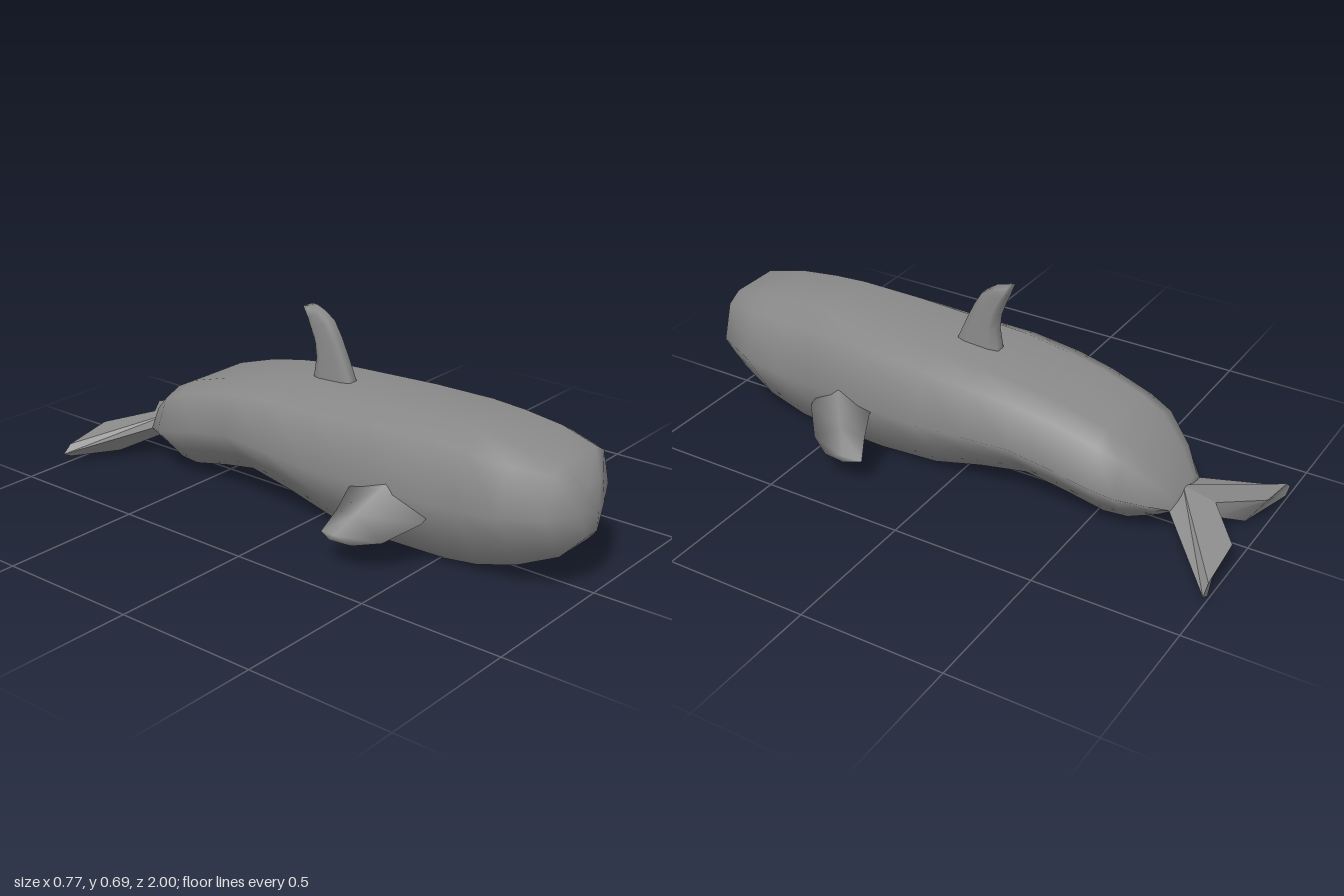
import * as THREE from 'three';
import { toCreasedNormals } from 'three/addons/utils/BufferGeometryUtils.js';

const material = new THREE.MeshStandardMaterial({ color: 0x8a8a8a });

// Closed skin over a list of rings; each end is capped by a fan to a pole
function loft(rings, startPole, endPole) {
  const n = rings[0].length;
  const centre = r => [0, 1, 2].map(k => r.reduce((s, p) => s + p[k], 0) / n);
  const last = rings.length - 1;
  const points = [...rings.flat(), startPole || centre(rings[0]), endPole || centre(rings[last])];
  const a = n * rings.length, b = a + 1;
  const faces = [];
  for (let j = 0; j < n; j++) {
    const k = (j + 1) % n;
    for (let i = 0; i < last; i++) {
      const p = i * n, q = p + n;
      faces.push([p + j, p + k, q + k], [p + j, q + k, q + j]);
    }
    faces.push([a, k, j], [b, last * n + j, last * n + k]);
  }
  // Turn the faces outward whichever way the rings run
  const v = points.map(p => new THREE.Vector3(...p));
  const mid = v[a].clone().add(v[b]).multiplyScalar(0.5);
  let volume = 0;
  for (const [i, j, k] of faces) {
    const e = v[i].clone().sub(mid), f = v[j].clone().sub(mid), g = v[k].clone().sub(mid);
    volume += e.dot(f.cross(g));
  }
  if (volume < 0) faces.forEach(f => f.reverse());
  const geometry = new THREE.BufferGeometry();
  geometry.setAttribute('position', new THREE.Float32BufferAttribute(points.flat(), 3));
  geometry.setIndex(faces.flat());
  geometry.computeVertexNormals();
  return geometry;
}

const mirrored = (rings, side) => rings.map(r => r.map(([x, y, z]) => [x * side, y, z]));

export function createModel() {
  const model = new THREE.Group();
  const add = (name, geometry) => {
    const mesh = new THREE.Mesh(geometry, material);
    mesh.name = name;
    model.add(mesh);
  };

  // Body stations: z, half width, bottom, top
  const stations = [
    [0.98, 0.065, 0.19, 0.36], [0.925, 0.18, 0.13, 0.435], [0.79, 0.23, 0.07, 0.46],
    [0.65, 0.24, 0.03, 0.475], [0.53, 0.243, 0.014, 0.482], [0.3, 0.26, 0.013, 0.475],
    [0.08, 0.27, 0.03, 0.462], [-0.1, 0.275, 0.078, 0.452], [-0.27, 0.267, 0.108, 0.43],
    [-0.4, 0.258, 0.085, 0.405], [-0.55, 0.243, 0.05, 0.36], [-0.63, 0.228, 0.052, 0.32],
    [-0.72, 0.168, 0.075, 0.235], [-0.775, 0.11, 0.095, 0.155],
  ];
  // Half section as fractions of width and height
  const half = [[0.5, 1], [0.79, 0.9], [1, 0.5], [0.72, 0.22], [0.49, 0]];
  const section = [...half, ...half.map(([x, y]) => [-x, y]).reverse()];
  const bodyRings = stations.map(([z, w, low, high]) =>
    section.map(([x, y]) => [x * w, low + y * (high - low), z]));
  add('body', loft(bodyRings, [0, 0.27, 1], [0, 0.12, -0.79]));

  // Dorsal fin: front and back edge at each level as z, y
  const levels = [
    [0.075, 0.43, -0.1, 0.43], [0.06, 0.465, -0.09, 0.46], [0.03, 0.535, -0.08, 0.52],
    [0, 0.6, -0.085, 0.57], [-0.03, 0.65, -0.102, 0.615], [-0.07, 0.677, -0.117, 0.65],
    [-0.105, 0.685, -0.132, 0.69],
  ];
  const finRings = levels.map(([zf, yf, zb, yb]) =>
    [[0.018, 0], [0.027, 0.2], [0.027, 0.8], [0.018, 1], [-0.018, 1], [-0.027, 0.8], [-0.027, 0.2], [-0.018, 0]]
      .map(([x, t]) => [x, yf + (yb - yf) * t, zf + (zb - zf) * t]));
  add('dorsalFin', loft(finRings));

  // Flipper sections run front, top, back, bottom
  const flipper = [
    [[0.15, 0.2, 0.52], [0.17, 0.29, 0.39], [0.17, 0.24, 0.26], [0.14, 0.15, 0.38]],
    [[0.235, 0.17, 0.52], [0.255, 0.27, 0.39], [0.262, 0.23, 0.255], [0.19, 0.132, 0.4]],
    [[0.328, 0.115, 0.44], [0.325, 0.18, 0.33], [0.31, 0.165, 0.245], [0.29, 0.108, 0.36]],
    [[0.378, 0.101, 0.36], [0.375, 0.115, 0.29], [0.36, 0.105, 0.224], [0.36, 0.1, 0.3]],
  ];
  // Fluke sections run bottom, inner bottom, inner top, top, outer edge
  const fluke = [
    [[0, 0.09, -0.765], [0, 0.075, -0.88], [0, 0.13, -0.88], [0, 0.157, -0.765], [0.11, 0.125, -0.77]],
    [[0.31, 0.017, -1], [0.13, 0, -0.935], [0.14, 0.1, -1], [0.31, 0.065, -1], [0.345, 0.035, -1]],
  ];
  for (const [side, label] of [[1, 'left'], [-1, 'right']]) {
    add(label + 'Flipper', loft(mirrored(flipper, side), null, [0.386 * side, 0.1, 0.28]));
    add(label + 'Fluke', toCreasedNormals(loft(mirrored(fluke, side)), 0.6));
  }
  return model;
}
